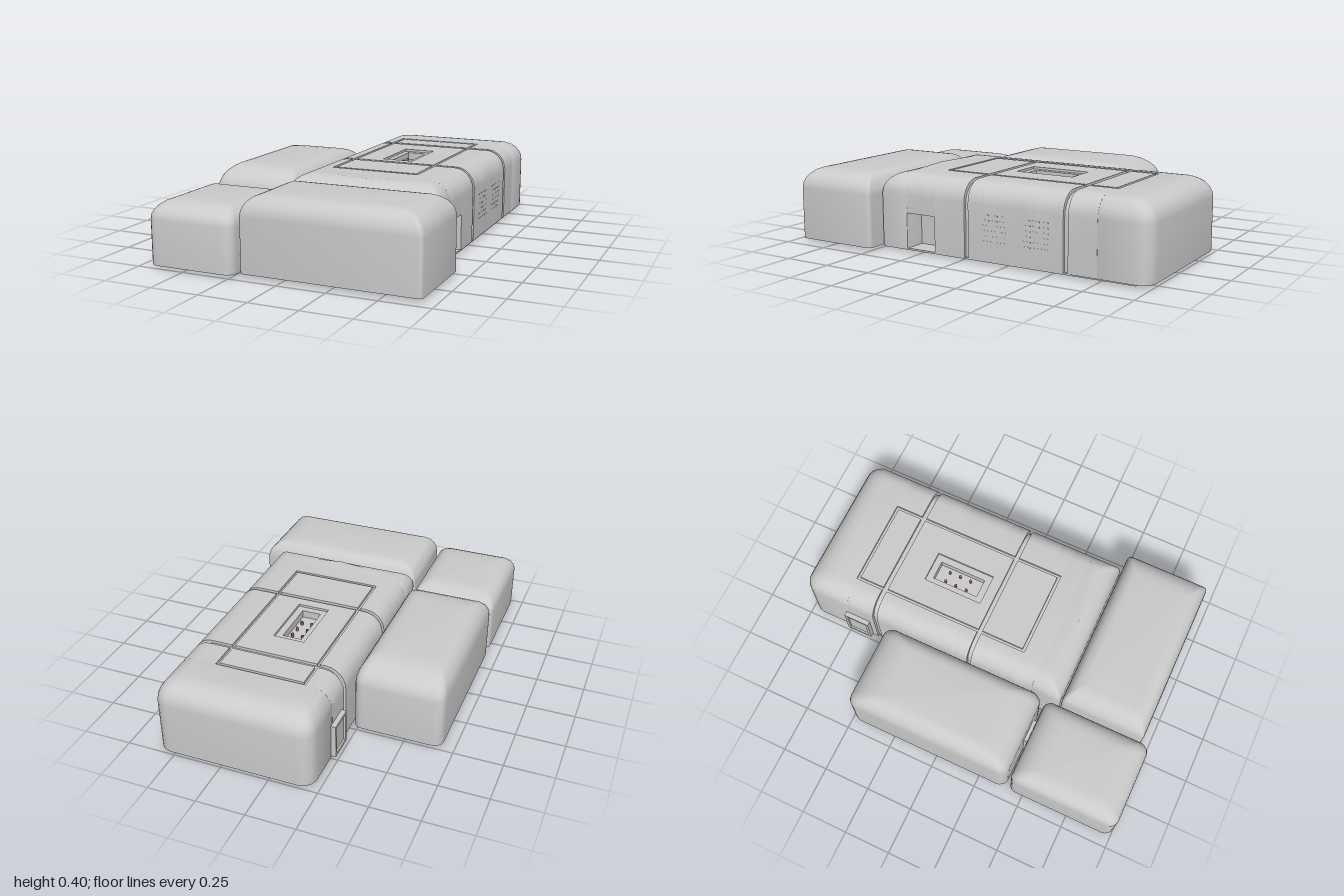
import * as THREE from 'three';
import { toCreasedNormals } from 'three/addons/utils/BufferGeometryUtils.js';

const grey = new THREE.MeshStandardMaterial({ color: 0xcccccc, side: THREE.DoubleSide });
const red = new THREE.MeshStandardMaterial({ color: 0xb06060 });
const Y0 = 0.015, STEPS = 6;

// Main hull cross-section
const HULL = { x0: -0.22, x1: 0.59, wall: 0.29, top: 0.397, inset: 0.1 };

function add(parent, name, geo, mat = grey) {
  const mesh = new THREE.Mesh(geo, mat);
  mesh.name = name;
  parent.add(mesh);
  return mesh;
}

function box(parent, name, x0, x1, y0, y1, z0, z1) {
  const m = add(parent, name, new THREE.BoxGeometry(x1 - x0, y1 - y0, z1 - z0));
  m.position.set((x0 + x1) / 2, (y0 + y1) / 2, (z0 + z1) / 2);
  return m;
}

// Block with straight walls and a rounded, hipped top, built from stacked rounded rectangles.
// inset = [left -x, right +x, back -z, front +z]; rB / rF are the plan corner radii.
function softBlock(parent, name, { x0, x1, z0, z1, wall, top, inset, rB, rF }) {
  const pos = [], idx = [], SEG = 5, N = 4 * (SEG + 1);
  const ring = (y, s) => {
    const a = x0 + inset[0] * s, b = x1 - inset[1] * s;
    const c = z0 + inset[2] * s, d = z1 - inset[3] * s;
    const k = 1 - 0.5 * s;
    [[b, d, rF, -1, -1], [a, d, rF, 1, -1], [a, c, rB, 1, 1], [b, c, rB, -1, 1]].forEach(([x, z, r, sx, sz], q) => {
      for (let i = 0; i <= SEG; i++) {
        const t = (q + i / SEG) * Math.PI / 2;
        pos.push(x + r * k * (sx + Math.cos(t)), y, z + r * k * (sz + Math.sin(t)));
      }
    });
  };
  ring(Y0, 0);
  for (let i = 0; i <= STEPS; i++) {
    const t = i / STEPS * Math.PI / 2;
    ring(wall + (top - wall) * Math.sin(t), 1 - Math.cos(t));
  }
  const rings = STEPS + 2, cx = (x0 + x1) / 2, cz = (z0 + z1) / 2;
  pos.push(cx, Y0, cz, cx, top, cz);
  for (let i = 0; i < N; i++) {
    const j = (i + 1) % N, last = (rings - 1) * N;
    for (let r = 0; r < rings - 1; r++) {
      const b = r * N, t = b + N;
      idx.push(b + i, t + i, b + j, b + j, t + i, t + j);
    }
    idx.push(rings * N, i, j, rings * N + 1, last + j, last + i);
  }
  const geo = new THREE.BufferGeometry();
  geo.setAttribute('position', new THREE.Float32BufferAttribute(pos, 3));
  geo.setIndex(idx);
  return add(parent, name, toCreasedNormals(geo, 0.5));
}

// Slice of the main hull. cuts = [xa, xb, depth] channels in the roof, left to right.
function hullSlice(parent, name, z0, z1, { cuts = [], door = false, shrink = 0 } = {}) {
  const { inset } = HULL;
  const x0 = HULL.x0 + shrink, x1 = HULL.x1 - shrink, top = HULL.top - shrink, wall = HULL.wall - shrink;
  const arc = [...Array(STEPS + 1).keys()].map(i => {
    const t = i / STEPS * Math.PI / 2;
    return [inset * (1 - Math.cos(t)), wall + (top - wall) * Math.sin(t)];
  });
  const pts = [[x0, Y0], ...arc.map(([d, y]) => [x0 + d, y])];
  cuts.forEach(([xa, xb, d], i) => {
    if (cuts[i - 1]?.[1] !== xa) pts.push([xa, top]);
    pts.push([xa, top - d], [xb, top - d]);
    if (cuts[i + 1]?.[0] !== xb) pts.push([xb, top]);
  });
  pts.push(...arc.reverse().map(([d, y]) => [x1 - d, y]));
  if (door) pts.push([x1, 0.2], [x1 - 0.12, 0.2], [x1 - 0.12, Y0]);
  else pts.push([x1, Y0]);
  const shape = new THREE.Shape(pts.map(p => new THREE.Vector2(...p)));
  const geo = new THREE.ExtrudeGeometry(shape, { depth: z1 - z0, bevelEnabled: false });
  geo.translate(0, 0, z0);
  return add(parent, name, toCreasedNormals(geo, 0.5));
}

export function createModel() {
  const model = new THREE.Group();
  model.name = 'modularBuilding';

  // Three outer modules
  softBlock(model, 'rearSideModule', { x0: -0.69, x1: -0.23, z0: -0.5, z1: 0.4, wall: 0.27, top: 0.388,
    inset: [0.09, 0.09, 0.19, 0.19], rB: 0.05, rF: 0.05 });
  softBlock(model, 'frontSideModule', { x0: -0.69, x1: -0.23, z0: 0.42, z1: 1, wall: 0.24, top: 0.328,
    inset: [0.1, 0.1, 0.14, 0.14], rB: 0.04, rF: 0.05 });
  softBlock(model, 'frontModule', { x0: -0.22, x1: 0.685, z0: 0.495, z1: 0.95, wall: 0.285, top: 0.39,
    inset: [0.11, 0.13, 0.08, 0.09], rB: 0.02, rF: 0.02 });

  // Main hull: rounded rear, sloped front, sliced middle
  const hull = new THREE.Group();
  hull.name = 'mainHull';
  model.add(hull);
  const { x0, x1, wall, top, inset } = HULL;
  softBlock(hull, 'hullRear', { x0, x1, z0: -1, z1: -0.74, wall, top, inset: [inset, inset, 0.12, 0], rB: 0.075, rF: 0.001 });
  softBlock(hull, 'hullFront', { x0, x1, z0: 0.33, z1: 0.49, wall, top, inset: [inset, inset, 0, 0.12], rB: 0.001, rF: 0.015 });

  const rails = [[-0.088, -0.073, 0.012], [0.365, 0.38, 0.012]];
  const across = [[-0.088, 0.38, 0.012]];
  const rim = [rails[0], [0.06, 0.225, 0.012], rails[1]];
  const well = [rails[0], [0.06, 0.09, 0.012], [0.09, 0.19, 0.05], [0.19, 0.225, 0.012], rails[1]];
  [
    ['rearRoofGroove', -0.74, -0.725, { cuts: across }],
    ['rearRoofPanel', -0.725, -0.59, { cuts: rails }],
    ['rearJoint', -0.59, -0.565, { shrink: 0.014 }],
    ['middleRear', -0.565, -0.415, { cuts: rails }],
    ['hatchRimRear', -0.415, -0.38, { cuts: rim }],
    ['hatchWell', -0.38, -0.13, { cuts: well }],
    ['hatchRimFront', -0.13, -0.095, { cuts: rim }],
    ['middleFront', -0.095, -0.04, { cuts: rails }],
    ['frontJoint', -0.04, -0.018, { shrink: 0.014 }],
    ['frontRoofPanel', -0.018, 0.16, { cuts: rails }],
    ['doorwayRear', 0.16, 0.21, { cuts: rails, door: true }],
    ['frontRoofGroove', 0.21, 0.225, { cuts: across, door: true }],
    ['doorwayFront', 0.225, 0.33, { door: true }],
  ].forEach(([name, a, b, opts]) => hullSlice(hull, name, a, b, opts));

  // Small studs inside the roof hatch
  for (const x of [0.11, 0.165]) for (const z of [-0.32, -0.26, -0.2]) {
    add(hull, 'hatchStud', new THREE.CylinderGeometry(0.007, 0.007, 0.02, 10), red).position.set(x, 0.356, z);
  }

  // Side vents: two groups of short louvres
  for (const zc of [-0.19, -0.42]) for (let row = 0; row < 6; row++) for (let col = -1; col <= 1; col++) {
    const y = 0.11 + row * 0.026, z = zc + col * 0.048;
    box(hull, 'ventLouvre', x1 - 0.004, x1 + 0.001, y, y + 0.006, z - 0.019, z + 0.019);
  }

  // Framed port on the rear side wall
  const frame = new THREE.Shape([[-0.07, 0], [0.07, 0], [0.07, 0.18], [-0.07, 0.18]].map(p => new THREE.Vector2(...p)));
  frame.holes.push(new THREE.Path([[-0.055, 0.015], [-0.055, 0.165], [0.055, 0.165], [0.055, 0.015]].map(p => new THREE.Vector2(...p))));
  const port = add(hull, 'portFrame', new THREE.ExtrudeGeometry(frame, { depth: 0.04, bevelEnabled: false }));
  port.rotation.y = -Math.PI / 2;
  port.position.set(-0.205, 0.025, -0.69);
  box(hull, 'portDoor', -0.235, -0.2, 0.035, 0.195, -0.75, -0.63);

  // Passages linking the modules
  box(model, 'sidePassage', -0.26, -0.2, 0.02, 0.2, -0.34, -0.17);
  box(model, 'sideModulePassage', -0.46, -0.34, 0.02, 0.2, 0.37, 0.45);
  box(model, 'frontSidePassage', -0.26, -0.2, 0.02, 0.15, 0.65, 0.74);
  box(model, 'frontPassage', 0.1, 0.3, 0.02, 0.11, 0.46, 0.52);

  // Underside plate and access panel
  box(hull, 'basePlate', -0.21, 0.585, 0.009, 0.018, -0.93, 0.48);
  box(hull, 'bottomPanel', 0.05, 0.23, 0, 0.012, -0.5, -0.02);
  return model;
}
